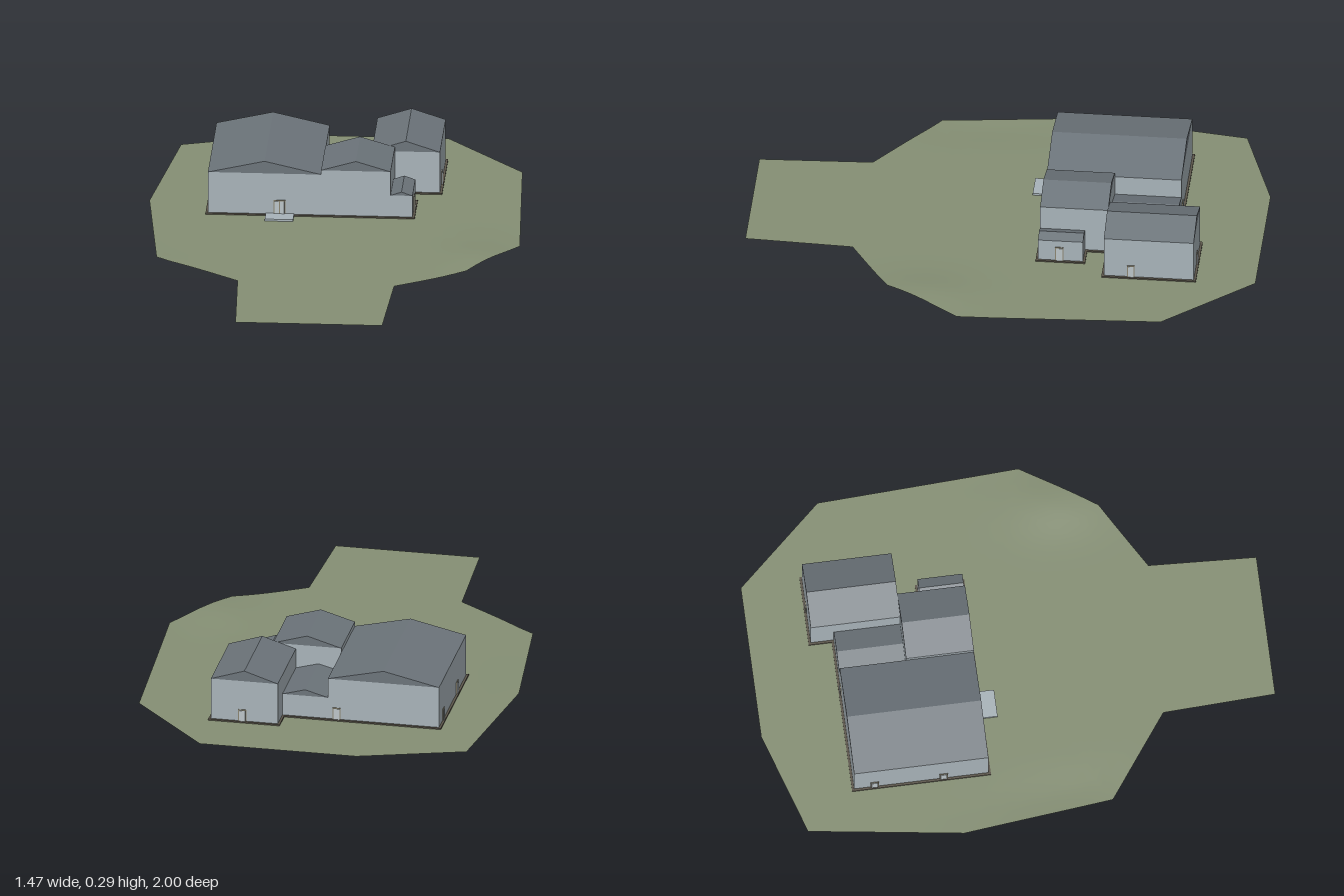
import * as THREE from 'three';

const mat = (name, color, extra = {}) => {
  const m = new THREE.MeshStandardMaterial({ color, ...extra });
  m.name = name;
  return m;
};

export function createModel() {
  const model = new THREE.Group();
  model.name = 'houseOnPlot';
  const wall = mat('wallGrey', 0xa8b3b9);
  const roof = mat('roofGrey', 0x6c747a);
  const grass = mat('grassGreen', 0x858f74, { side: THREE.DoubleSide });
  const plinth = mat('plinthBrown', 0x5c564b);
  const frame = mat('frameTan', 0x8a8470);
  const panel = mat('doorLight', 0xbcc5c8);

  const add = (parent, name, geometry, material) => {
    const mesh = new THREE.Mesh(geometry, material);
    mesh.name = name;
    parent.add(mesh);
    return mesh;
  };
  // Box from its lower and upper corners
  const box = (parent, name, x0, x1, y0, y1, z0, z1, material) =>
    add(parent, name, new THREE.BoxGeometry(x1 - x0, y1 - y0, z1 - z0), material)
      .position.set((x0 + x1) / 2, (y0 + y1) / 2, (z0 + z1) / 2);

  // Plot: rings shrinking from the outline to a centre, with gentle mounds
  const outline = [
    [-0.24, -1], [0.38, -1], [0.69, -0.66], [0.73, 0.13], [0.54, 0.42], [0.27, 0.58],
    [0.25, 1], [-0.32, 1], [-0.34, 0.56], [-0.67, 0.32], [-0.735, -0.27], [-0.65, -0.87],
  ];
  const bump = (x, z, cx, cz, rx, rz, h) =>
    h * Math.exp(-(((x - cx) / rx) ** 2) - ((z - cz) / rz) ** 2);
  const height = (x, z) => 0.062
    + bump(x, z, 0.58, 0.28, 0.13, 0.18, 0.016)
    + bump(x, z, -0.62, 0.15, 0.08, 0.3, -0.006);
  const sub = 6, rings = 14, cz = -0.1;
  const edge = outline.flatMap(([x, z], i) => {
    const [nx, nz] = outline[(i + 1) % outline.length];
    return Array.from({ length: sub }, (_, k) => [x + (nx - x) * k / sub, z + (nz - z) * k / sub]);
  });
  const pos = [], idx = [], n = edge.length;
  for (let r = 0; r <= rings; r++) {
    for (const [ex, ez] of edge) {
      const t = 1 - r / rings, x = ex * t, z = cz + (ez - cz) * t;
      pos.push(x, height(x, z), z);
    }
  }
  for (let r = 0; r < rings; r++) {
    for (let i = 0; i < n; i++) {
      const a = r * n + i, b = r * n + (i + 1) % n;
      idx.push(a, a + n, b);
      if (r < rings - 1) idx.push(b, a + n, b + n);
    }
  }
  const ground = new THREE.BufferGeometry();
  ground.setAttribute('position', new THREE.Float32BufferAttribute(pos, 3));
  ground.setIndex(idx);
  ground.computeVertexNormals();
  add(model, 'ground', ground, grass);

  // Wings: walls, gabled roof, plinth and floor slab
  const wings = [
    { name: 'mainHall', x: [-0.5, -0.06], z: [-0.67, -0.145], eave: 0.235, ridge: 0.285 },
    { name: 'frontWing', x: [-0.06, 0.21], z: [-0.41, -0.145], eave: 0.253, ridge: 0.293 },
    { name: 'linkWing', x: [-0.06, 0.12], z: [-0.67, -0.41], eave: 0.155, ridge: 0.18 },
    { name: 'rearWing', x: [0.12, 0.385], z: [-0.76, -0.41], eave: 0.235, ridge: 0.278 },
    { name: 'sidePorch', x: [0.21, 0.295], z: [-0.32, -0.145], eave: 0.155, ridge: 0.17 },
  ];
  for (const { name, x: [x0, x1], z: [z0, z1], eave, ridge } of wings) {
    const g = new THREE.Group();
    g.name = name;
    model.add(g);
    box(g, 'walls', x0, x1, 0.06, eave, z0, z1, wall);
    const gable = new THREE.Shape([
      new THREE.Vector2(x0, eave), new THREE.Vector2(x1, eave), new THREE.Vector2((x0 + x1) / 2, ridge),
    ]);
    add(g, 'roof', new THREE.ExtrudeGeometry(gable, { depth: z1 - z0, bevelEnabled: false }), roof)
      .position.z = z0;
    const o = 0.009;
    box(g, 'plinth', x0 - o, x1 + o, 0.055, 0.067, z0 - o, z1 + o, plinth);
    box(g, 'floorSlab', x0, x1, 0.053, 0.06, z0, z1, wall);
  }

  // Basement and entrance step
  box(model, 'basement', -0.21, -0.055, 0, 0.056, -0.67, -0.275, wall);
  box(model, 'entranceStep', -0.275, -0.165, 0.056, 0.07, -0.145, -0.08, wall);

  // Doors: thin frame with one or two light panels, turned to face outwards
  const door = (name, x, z, turn, width, top, leaves = 1) => {
    const g = new THREE.Group();
    g.name = name;
    const y0 = 0.067, t = 0.004;
    box(g, 'doorFrame', -width / 2, width / 2, y0, top, 0, 0.003, frame);
    const w = (width - t * (leaves + 1)) / leaves;
    for (let i = 0; i < leaves; i++) {
      const a = -width / 2 + t + i * (w + t);
      box(g, 'doorPanel', a, a + w, y0, top - t, 0.001, 0.005, panel);
    }
    g.position.set(x, 0, z);
    g.rotation.y = turn;
    model.add(g);
  };
  const R = Math.PI / 2;
  door('frontDoor', -0.222, -0.145, 0, 0.046, 0.125, 2);
  door('porchDoor', 0.295, -0.228, R, 0.034, 0.127);
  door('rearWingSideDoor', 0.385, -0.515, R, 0.03, 0.118);
  door('rearWingBackDoor', 0.26, -0.76, Math.PI, 0.032, 0.115);
  door('hallBackDoor', -0.095, -0.67, Math.PI, 0.032, 0.115);
  door('hallSideDoorRear', -0.5, -0.59, -R, 0.032, 0.115);
  door('hallSideDoorFront', -0.5, -0.32, -R, 0.032, 0.115);

  return model;
}
